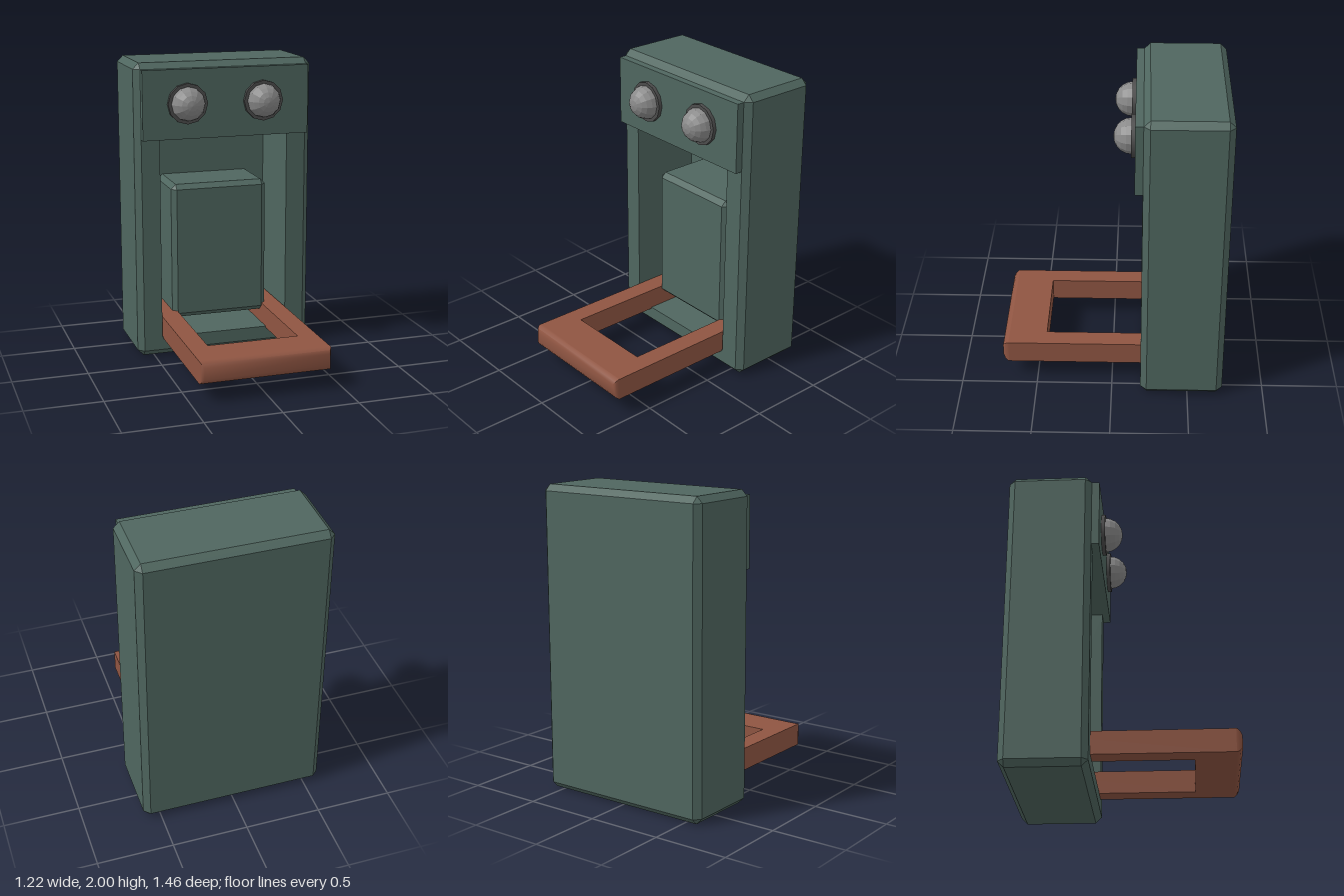
import * as THREE from 'three';
import { ConvexGeometry } from 'three/addons/geometries/ConvexGeometry.js';
import { toCreasedNormals, mergeGeometries } from 'three/addons/utils/BufferGeometryUtils.js';

const green = new THREE.MeshStandardMaterial({ color: 0x4f665f });
const copper = new THREE.MeshStandardMaterial({ color: 0x8f5542 });
const darkGrey = new THREE.MeshStandardMaterial({ color: 0x4c4c4c });
const grey = new THREE.MeshStandardMaterial({ color: 0x8a8a8a, flatShading: true });

// Box with all twelve edges chamfered by c
function chamferBox(x0, x1, y0, y1, z0, z1, c) {
  const points = [];
  for (const [x, dx] of [[x0, c], [x1, -c]])
    for (const [y, dy] of [[y0, c], [y1, -c]])
      for (const [z, dz] of [[z0, c], [z1, -c]])
        points.push(
          new THREE.Vector3(x, y + dy, z + dz),
          new THREE.Vector3(x + dx, y, z + dz),
          new THREE.Vector3(x + dx, y + dy, z));
  return new ConvexGeometry(points);
}

function box(x0, x1, y0, y1, z0, z1) {
  return new THREE.BoxGeometry(x1 - x0, y1 - y0, z1 - z0)
    .translate((x0 + x1) / 2, (y0 + y1) / 2, (z0 + z1) / 2);
}

function rectPath(path, x0, x1, y0, y1) {
  return path.moveTo(x0, y0).lineTo(x1, y0).lineTo(x1, y1).lineTo(x0, y1).closePath();
}

// Drops the triangles that lie entirely in the plane z = plane
function withoutFace(geometry, plane) {
  const source = geometry.getAttribute('position');
  const kept = [];
  for (let i = 0; i < source.count; i += 3) {
    const corners = [i, i + 1, i + 2];
    if (corners.every((k) => Math.abs(source.getZ(k) - plane) < 1e-4)) continue;
    for (const k of corners) kept.push(source.getX(k), source.getY(k), source.getZ(k));
  }
  const result = new THREE.BufferGeometry();
  result.setAttribute('position', new THREE.Float32BufferAttribute(kept, 3));
  result.computeVertexNormals();
  return result;
}

function bareGeometry(geometry) {
  const g = geometry.index ? geometry.toNonIndexed() : geometry;
  g.deleteAttribute('uv');
  return g;
}

export function createModel() {
  const model = new THREE.Group();
  const add = (name, geometry, material, parent = model) => {
    const mesh = new THREE.Mesh(geometry, material);
    mesh.name = name;
    parent.add(mesh);
    return mesh;
  };

  // Housing: chamfered shell, front face with an opening, and the recess behind it
  const front = -0.19, back = -0.68;
  const opening = [-0.445, 0.44, 0.13, 1.5];
  const shell = withoutFace(chamferBox(-0.61, 0.61, 0, 2, -0.73, front, 0.04), front);
  const faceShape = rectPath(new THREE.Shape(), -0.57, 0.57, 0.04, 1.96);
  faceShape.holes.push(rectPath(new THREE.Path(), ...opening));
  const face = new THREE.ShapeGeometry(faceShape).translate(0, 0, front);
  const recess = withoutFace(box(...opening, back, front).toNonIndexed(), front);
  // Mirror in x to turn the recess walls inward
  recess.translate(0.0025, 0, 0).scale(-1, 1, 1).translate(-0.0025, 0, 0);
  const p = recess.getAttribute('position');
  const a = new THREE.Vector3(), b = new THREE.Vector3();
  for (let i = 0; i < p.count; i += 3) {
    a.fromBufferAttribute(p, i + 1);
    b.fromBufferAttribute(p, i + 2);
    p.setXYZ(i + 1, b.x, b.y, b.z);
    p.setXYZ(i + 2, a.x, a.y, a.z);
  }
  // The mirror already reversed the winding once; keep it by swapping back
  for (let i = 0; i < p.count; i += 3) {
    a.fromBufferAttribute(p, i + 1);
    b.fromBufferAttribute(p, i + 2);
    p.setXYZ(i + 1, b.x, b.y, b.z);
    p.setXYZ(i + 2, a.x, a.y, a.z);
  }
  recess.computeVertexNormals();
  add('housing', mergeGeometries([shell, face, recess].map(bareGeometry)), green);

  // Inner block set in the recess, and the panel above it
  add('innerBlock', chamferBox(-0.34, 0.33, 0.22, 1.16, -0.71, -0.285, 0.033), green);
  add('upperPanel', box(-0.57, 0.57, 1.5, 1.96, front - 0.01, -0.14), green);

  // Two domed knobs on collars
  for (const [side, x] of [['right', -0.27], ['left', 0.25]]) {
    const knob = new THREE.Group();
    knob.name = side + 'Knob';
    knob.position.set(x, 1.735, -0.14);
    model.add(knob);
    add('collar', new THREE.CylinderGeometry(0.135, 0.135, 0.025, 12)
      .rotateX(Math.PI / 2).translate(0, 0, 0.0125), darkGrey, knob);
    add('dome', new THREE.SphereGeometry(0.113, 12, 5, 0, Math.PI * 2, 0, Math.PI / 2)
      .rotateX(Math.PI / 2).translate(0, 0, 0.022), grey, knob);
  }

  // Handle: U-shaped frame with a softened front edge
  const handle = new THREE.Group();
  handle.name = 'handle';
  handle.position.set(-0.005, 0.195, 0);
  model.add(handle);
  const u = new THREE.Shape();
  [[-0.435, 0.66], [-0.435, -0.69], [0.435, -0.69], [0.435, 0.66],
    [0.305, 0.66], [0.305, -0.44], [-0.305, -0.44], [-0.305, 0.66]]
    .forEach(([x, y], i) => (i ? u.lineTo(x, y) : u.moveTo(x, y)));
  add('handleFrame', new THREE.ExtrudeGeometry(u, { depth: 0.15, bevelEnabled: false })
    .rotateX(-Math.PI / 2).translate(0, -0.075, 0), copper, handle);
  const edge = [];
  for (const [z, w, h] of [[0.68, 0.435, 0.075], [0.695, 0.435, 0.075], [0.715, 0.425, 0.06], [0.728, 0.41, 0.038]])
    for (const sx of [-1, 1])
      for (const sy of [-1, 1]) edge.push(new THREE.Vector3(sx * w, sy * h, z));
  add('handleFrontEdge', toCreasedNormals(new ConvexGeometry(edge), 0.9), copper, handle);

  return model;
}
